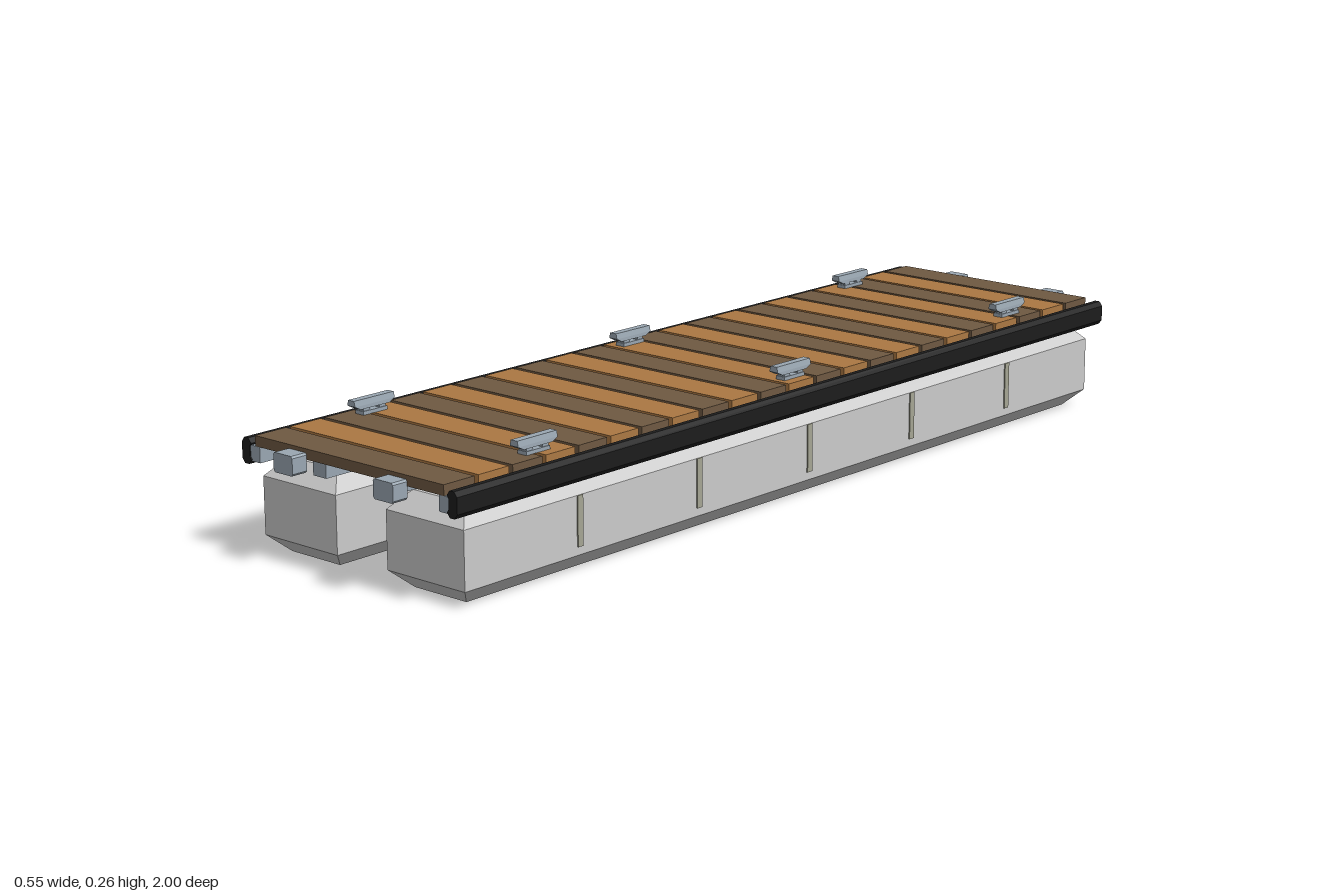
import * as THREE from 'three';
import { ConvexGeometry } from 'three/addons/geometries/ConvexGeometry.js';

const paint = (color) => new THREE.MeshStandardMaterial({ color, flatShading: true });

export function createModel() {
  const model = new THREE.Group();
  const grey = paint(0xcccccc), steel = paint(0x9aa7b2), rubber = paint(0x1c1c1c);
  const darkWood = paint(0x6f5942), lightWood = paint(0xab7843), seam = paint(0xa5a593);

  const add = (name, geometry, material, x = 0, y = 0, z = 0, parent = model) => {
    const mesh = new THREE.Mesh(geometry, material);
    mesh.name = name;
    mesh.position.set(x, y, z);
    parent.add(mesh);
    return mesh;
  };
  const box = (name, w, h, d, material, x, y, z, parent) =>
    add(name, new THREE.BoxGeometry(w, h, d), material, x, y, z, parent);

  // Solid through stacked rectangles, each given as [y, half width, half length]
  const stacked = (levels) => {
    const points = [];
    for (const [y, hx, hz] of levels)
      for (const sx of [-1, 1]) for (const sz of [-1, 1])
        points.push(new THREE.Vector3(sx * hx, y, sz * hz));
    return new ConvexGeometry(points);
  };

  // Chamfered floats with upright seams along both sides
  const floatShape = stacked([[0, 0.064, 0.9], [0.033, 0.097, 0.935], [0.145, 0.097, 0.935], [0.18, 0.064, 0.9]]);
  for (const side of [-1, 1]) {
    add('float', floatShape, grey, side * 0.162);
    for (const face of [-1, 1])
      for (let i = -2; i <= 2; i++)
        box('floatSeam', 0.006, 0.096, 0.014, seam, side * 0.162 + face * 0.0965, 0.097, i * 0.323);
  }

  // Deck planks in alternating wood
  const pitch = 0.0838, plankZ = (i) => 0.006 + (i - 11) * pitch;
  for (let i = 0; i < 23; i++)
    box('plank', 0.486, 0.02, 0.074, i % 2 ? lightWood : darkWood, 0, 0.22, plankZ(i));

  // Frame under the deck
  for (const side of [-1, 1]) {
    box('sideBeam', 0.026, 0.03, 1.93, steel, side * 0.244, 0.195, 0);
    box('stringer', 0.034, 0.03, 1.9, steel, side * 0.083, 0.195, 0.005);
  }
  for (const i of [1, 6, 11, 16, 21])
    box('crossBeam', 0.464, 0.029, 0.04, steel, 0, 0.195, plankZ(i));

  // Rubber fenders with a waisted profile
  const profile = [[0.259, 0.174], [0.27, 0.174], [0.277, 0.183], [0.277, 0.214], [0.27, 0.223],
    [0.259, 0.223], [0.252, 0.214], [0.256, 0.208], [0.256, 0.189], [0.252, 0.183]];
  const fender = new THREE.ExtrudeGeometry(
    new THREE.Shape(profile.map(([x, y]) => new THREE.Vector2(x, y))),
    { depth: 1.934, bevelEnabled: false });
  fender.translate(0, 0, -0.967);
  add('leftFender', fender, rubber);
  add('rightFender', fender.clone().rotateY(Math.PI), rubber);

  // Coupling blocks at both ends
  const coupling = stacked([[0.186, 0.022, 0.017], [0.19, 0.025, 0.017], [0.219, 0.025, 0.017], [0.223, 0.022, 0.017]]);
  for (const x of [-0.129, 0.129])
    for (const z of [-0.983, 0.983]) add('coupling', coupling, steel, x, 0, z);

  // Mooring cleats: foot, two posts and a tapered bar
  const bar = stacked([[0.242, 0.011, 0.036], [0.249, 0.0105, 0.05], [0.26, 0.008, 0.05]]);
  for (const x of [-0.21, 0.21])
    for (const z of [-0.71, 0, 0.71]) {
      const cleat = new THREE.Group();
      cleat.name = 'cleat';
      cleat.position.set(x, 0, z);
      model.add(cleat);
      box('cleatFoot', 0.022, 0.007, 0.06, steel, 0, 0.2335, 0, cleat);
      for (const end of [-1, 1]) box('cleatPost', 0.018, 0.008, 0.016, steel, 0, 0.24, end * 0.02, cleat);
      add('cleatBar', bar, steel, 0, 0, 0, cleat);
    }

  return model;
}
